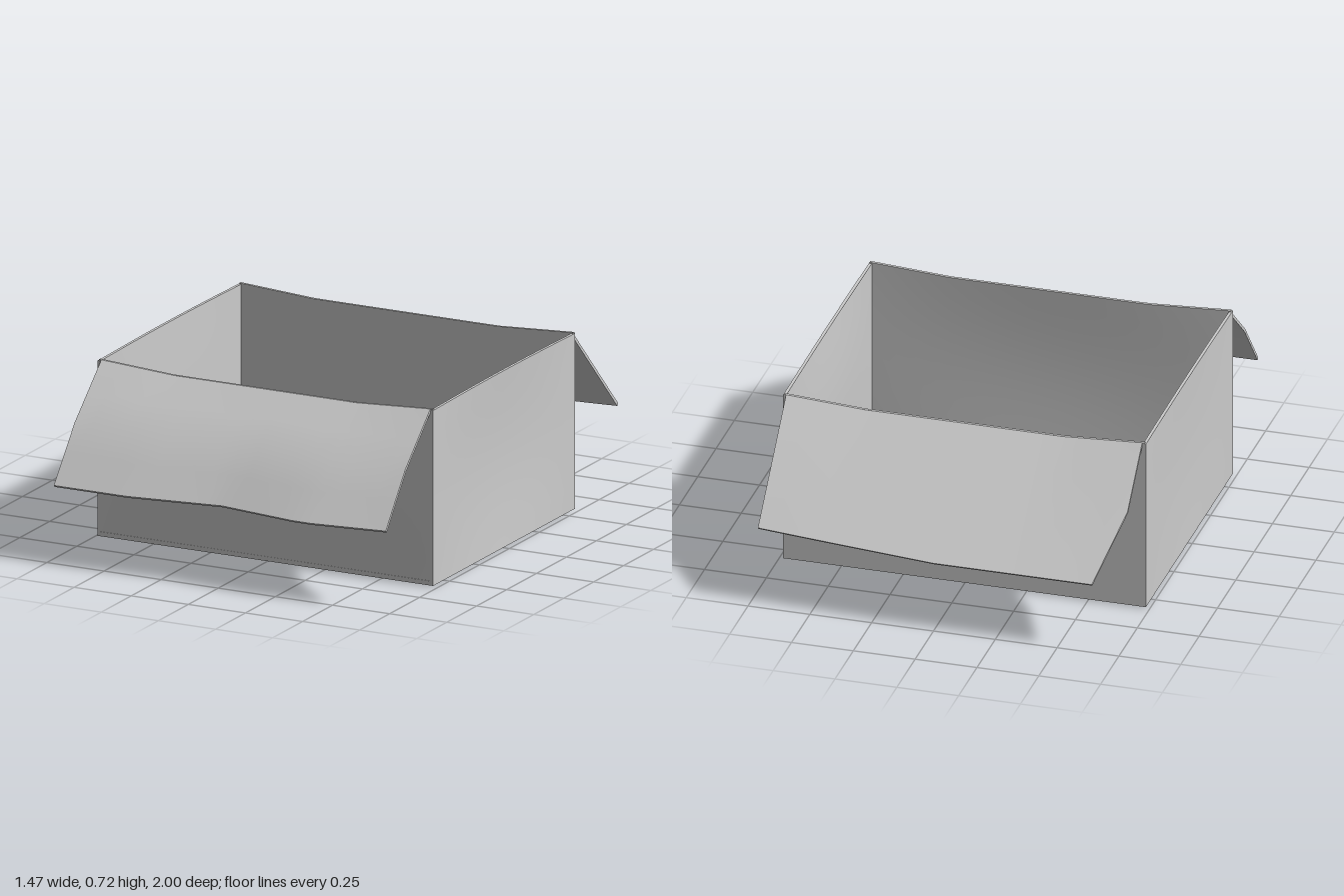
import * as THREE from 'three';
import { toCreasedNormals } from 'three/addons/utils/BufferGeometryUtils.js';

const T = 0.012; // cardboard thickness
const { lerp, clamp } = THREE.MathUtils;
const material = new THREE.MeshStandardMaterial({ color: 0xcccccc });

// Piecewise linear curve through [x, value] pairs
function along(points, x) {
  let i = 1;
  while (i < points.length - 1 && x > points[i][0]) i++;
  const [x0, a] = points[i - 1], [x1, b] = points[i];
  return lerp(a, b, clamp((x - x0) / (x1 - x0), 0, 1));
}

// Closed sheet: outer face from surface(u, v), inner face shifted by offset
function sheet(name, nu, nv, offset, surface) {
  const position = [], index = [], row = nu + 1, layer = row * (nv + 1);
  for (const k of [0, 1])
    for (let j = 0; j <= nv; j++)
      for (let i = 0; i <= nu; i++) {
        const p = surface(i / nu, j / nv);
        position.push(...p.map((c, n) => c + k * offset[n]));
      }
  const quad = (a, b, c, d) => index.push(a, b, c, a, c, d);
  for (let j = 0; j < nv; j++)
    for (let i = 0; i < nu; i++) {
      const a = j * row + i, b = a + 1, c = b + row, d = a + row;
      quad(a, b, c, d);
      quad(a + layer, d + layer, c + layer, b + layer);
    }
  // Cut edges around the rim
  const edge = (a, b) => quad(b, a, a + layer, b + layer);
  for (let i = 0; i < nu; i++) {
    edge(i, i + 1);
    edge(nv * row + i + 1, nv * row + i);
  }
  for (let j = 0; j < nv; j++) {
    edge((j + 1) * row, j * row);
    edge(j * row + nu, (j + 1) * row + nu);
  }
  const geometry = new THREE.BufferGeometry();
  geometry.setAttribute('position', new THREE.Float32BufferAttribute(position, 3));
  geometry.setIndex(index);
  const mesh = new THREE.Mesh(toCreasedNormals(geometry, 0.7), material);
  mesh.name = name;
  return mesh;
}

// Long upper edges sag slightly between the corners
const rimY = (x) => 0.7 + 0.02 * clamp((Math.abs(x) - 0.4) / 0.33, 0, 1);
const bulge = (u, v) => Math.sin(Math.PI * u) * Math.sin(Math.PI * v);

export function createModel() {
  const box = new THREE.Group();
  box.name = 'openBox';

  // Floor
  box.add(sheet('floor', 8, 8, [0, 0.018, 0], (u, v) =>
    [lerp(-0.725, 0.725, u), 0.006 - 0.006 * bulge(u, v), lerp(-0.575, 0.605, v)].map(
      (c) => c)));
  box.children[0].material = material.clone();
  box.children[0].material.side = THREE.DoubleSide;

  // Front and back walls
  box.add(sheet('frontWall', 18, 8, [0, 0, -T], (u, v) => {
    const x = lerp(-0.73, 0.73, u);
    return [x, lerp(0.006, rimY(x), v), 0.603 + 0.013 * bulge(u, v)];
  }));
  box.add(sheet('backWall', 18, 8, [0, 0, T], (u, v) => {
    const x = lerp(0.73, -0.73, u);
    return [x, lerp(0.006, rimY(x), v), -0.582];
  }));

  // Side walls, the left one bowed inward
  box.add(sheet('leftWall', 12, 8, [-T, 0, 0], (u, v) => [
    0.733 - 0.014 * bulge(u, v), lerp(0.006, 0.715 + 0.006 * Math.sin(Math.PI * u), v),
    lerp(0.605, -0.582, u)]));
  box.add(sheet('rightWall', 12, 8, [T, 0, 0], (u, v) => [
    -0.735 + 0.006 * bulge(u, v), lerp(0.006, 0.715 + 0.006 * Math.sin(Math.PI * u), v),
    lerp(-0.582, 0.605, u)]));

  // Front flap, creased halfway and wavy along its free edge
  const tip = [[-0.72, 0], [-0.4, 0], [0, -0.03], [0.36, 0], [0.72, -0.025]];
  box.add(sheet('frontFlap', 18, 4, [0, -0.7 * T, -0.7 * T], (u, v) => {
    const x = lerp(-0.72, 0.72, u), d = 1 - v;
    const y = along([[0, rimY(x)], [0.5, 0.525], [1, 0.316]], d);
    const z = along([[0, 0.603], [0.5, 0.825], [1, 1]], d);
    return [x, y - 0.3 * d * along(tip, x), z + d * along(tip, x)];
  }));

  // Back flap, with one corner cut off
  const reach = [[-0.72, 0.2], [-0.64, 0.418], [0, 0.418], [0.72, 0.385]];
  box.add(sheet('backFlap', 18, 4, [0, -0.7 * T, 0.7 * T], (u, v) => {
    const x = lerp(0.72, -0.72, u), d = (1 - v) * along(reach, x);
    return [x, lerp(rimY(x), 0.295, d / 0.418), -0.582 - d];
  }));

  return box;
}
